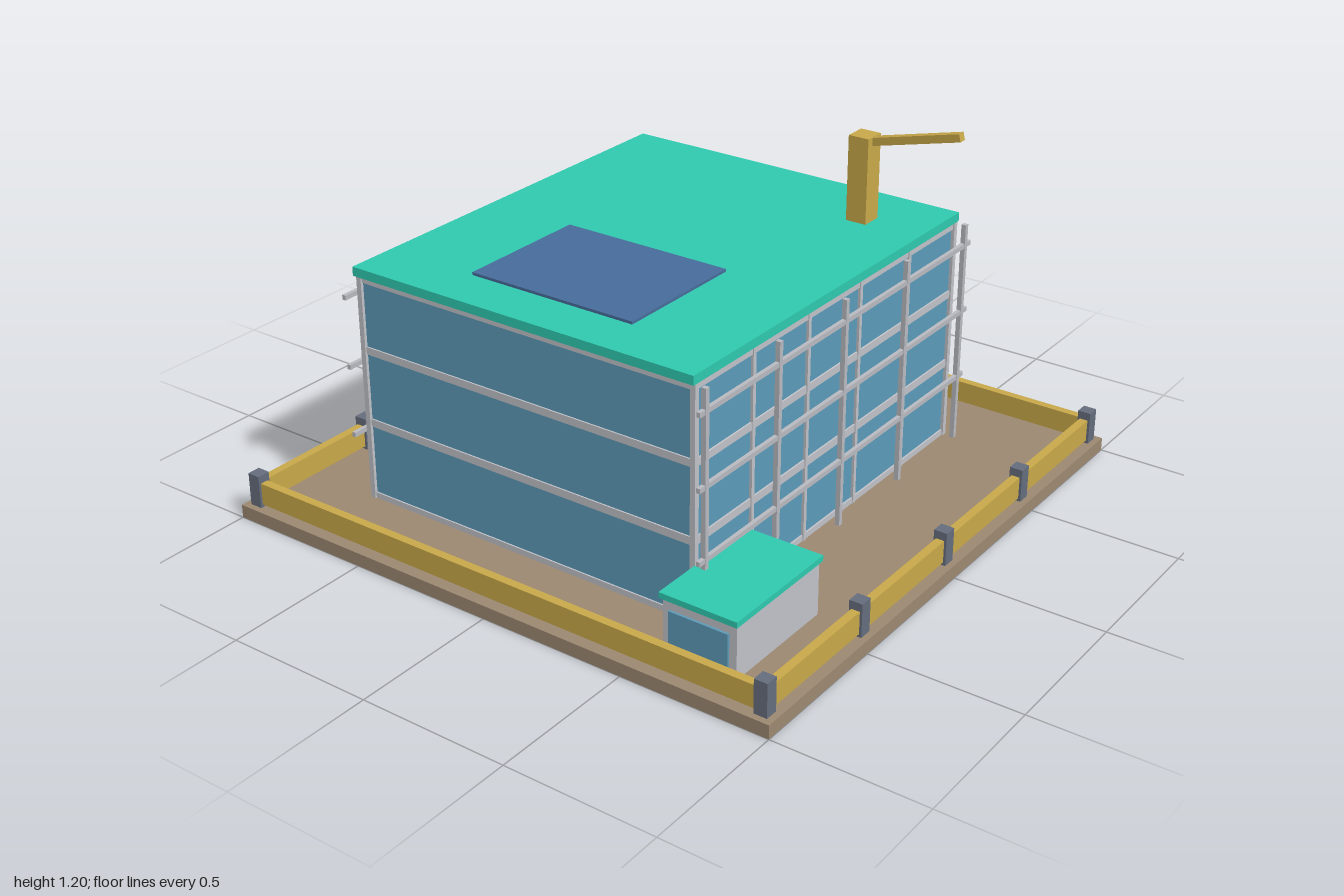
import * as THREE from 'three';

const paint = (name, color) => {
  const m = new THREE.MeshStandardMaterial({ color });
  m.name = name;
  return m;
};

export function createModel() {
  const root = new THREE.Group();
  root.name = 'officeBuildingSite';
  const soil = paint('soil brown', 0x9c8871);
  const teal = paint('roof teal', 0x2ec9ae);
  const glass = paint('glass blue', 0x5c9ab8);
  const frame = paint('frame grey', 0xc0c2c8);
  const steel = paint('scaffold grey', 0xb8bac0);
  const yellow = paint('safety yellow', 0xc8a84a);
  const slate = paint('post slate', 0x656d7d);
  const navy = paint('panel navy', 0x466c9a);

  // Box given by its minimum and maximum on each axis
  const box = (parent, name, mat, [x0, x1], [y0, y1], [z0, z1]) => {
    const mesh = new THREE.Mesh(new THREE.BoxGeometry(x1 - x0, y1 - y0, z1 - z0), mat);
    mesh.position.set((x0 + x1) / 2, (y0 + y1) / 2, (z0 + z1) / 2);
    mesh.name = name;
    parent.add(mesh);
    return mesh;
  };
  const around = (c, size) => [c - size / 2, c + size / 2];
  const group = (name) => {
    const g = new THREE.Group();
    g.name = name;
    root.add(g);
    return g;
  };

  const base = 0.045;
  box(root, 'ground', soil, [-1, 1], [0, base], [-1, 1]);

  // Main block: glass core with floor bands, corner posts and mullions
  const building = group('building');
  box(building, 'glassCore', glass, [-0.712, 0.712], [base, 0.81], [-0.694, 0.547]);
  for (const [y0, y1] of [[base, 0.065], [0.3, 0.326], [0.55, 0.575], [0.79, 0.812]])
    box(building, 'floorBand', frame, [-0.717, 0.717], [y0, y1], [-0.7, 0.553]);
  for (const x of [-0.713, 0.713])
    for (const z of [-0.696, 0.549])
      box(building, 'cornerPost', frame, around(x, 0.018), [base, 0.812], around(z, 0.018));
  for (const x of [-0.43, -0.143, 0.143, 0.43])
    for (const z of [-0.696, 0.549])
      box(building, 'mullion', frame, around(x, 0.014), [base, 0.812], around(z, 0.014));
  box(building, 'roof', teal, [-0.73, 0.73], [0.812, 0.842], [-0.71, 0.558]);
  box(building, 'roofPanel', navy, [-0.565, -0.1], [0.842, 0.851], [-0.375, 0.225]);

  // Scaffold: poles in front, rails in front and behind
  const scaffold = group('scaffold');
  for (const x of [-0.717, -0.355, 0, 0.355, 0.717])
    box(scaffold, 'scaffoldPole', steel, around(x, 0.016), [base, 0.812], around(0.588, 0.016));
  for (const y of [0.27, 0.505, 0.74])
    for (const z of [-0.735, 0.588])
      box(scaffold, 'scaffoldRail', steel, [-0.75, 0.75], around(y, 0.016), around(z, 0.013));

  // Small entrance annex with side windows
  const annex = group('annex');
  box(annex, 'annexWalls', frame, [-0.88, -0.468], [base, 0.222], [0.562, 0.812]);
  box(annex, 'annexWindows', glass, [-0.888, -0.46], [0.08, 0.188], [0.585, 0.787]);
  box(annex, 'annexRoof', teal, [-0.892, -0.46], [0.222, 0.241], [0.556, 0.82]);

  // Rooftop crane with a raised jib
  const crane = group('crane');
  box(crane, 'craneTower', yellow, [0.462, 0.536], [0.842, 1.128], [0.298, 0.37]);
  const jib = box(crane, 'craneJib', yellow, around(0.5, 0.028), around(1.148, 0.026), [0.335, 0.675]);
  jib.position.z = 0.51;
  jib.rotation.x = -0.247;

  // Perimeter fence
  const fence = group('fence');
  const edge = 0.957;
  for (const s of [-edge, edge]) {
    box(fence, 'fenceRail', yellow, [-edge, edge], [0.055, 0.129], around(s, 0.028));
    box(fence, 'fenceSideRail', yellow, around(s, 0.028), [0.055, 0.129], [-edge + 0.014, edge - 0.014]);
    for (let i = -2; i <= 2; i++)
      box(fence, 'fencePost', slate, around((i * edge) / 2, 0.044), [base, 0.156], around(s, 0.044));
  }
  return root;
}
